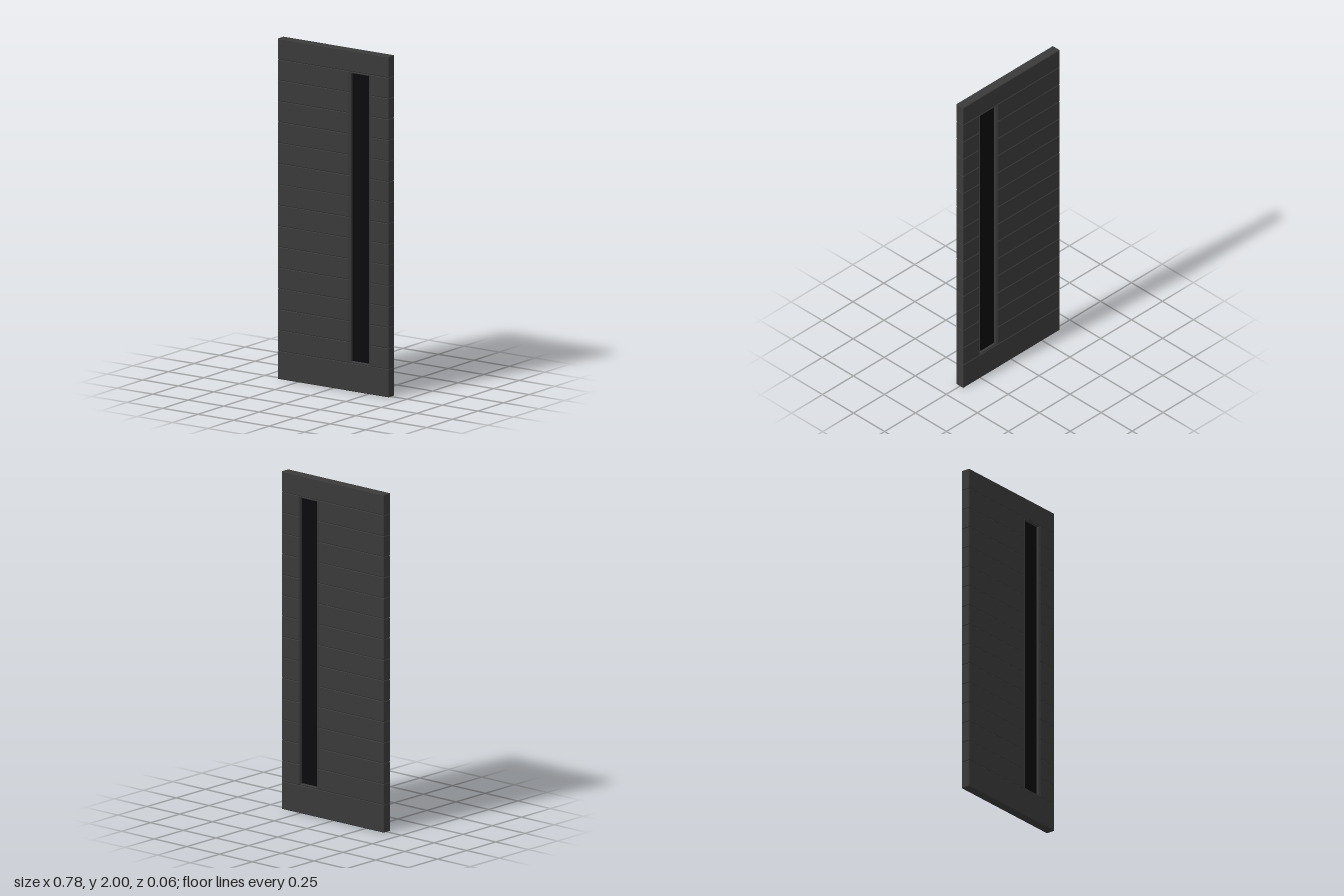
import * as THREE from 'three';

const W = 0.782, H = 2, D = 0.057;
const Y0 = 0.165, Y1 = 1.877, ROWS = 14;   // plank zone between the bottom and top rails
const X0 = 0.113, X1 = 0.259;              // window bay
const CH = 0.0035;                         // chamfer that forms the grooves

const paint = new THREE.MeshStandardMaterial({ color: 0x3a3a3a, flatShading: true });
const darkGlass = new THREE.MeshStandardMaterial({ color: 0x0b0b0d });

// Board with every edge chamfered, so stacked boards meet in V grooves
function board(name, x0, x1, y0, y1) {
  const a = x0 + CH, b = x1 - CH, c = y0 + CH, d = y1 - CH, e = 0.0005;
  const shape = new THREE.Shape([
    [a + e, c], [b - e, c], [b, c + e], [b, d - e],
    [b - e, d], [a + e, d], [a, d - e], [a, c + e],
  ].map(([x, y]) => new THREE.Vector2(x, y)));
  const geo = new THREE.ExtrudeGeometry(shape, {
    depth: D - 2 * CH, bevelEnabled: true, bevelSize: CH, bevelThickness: CH, bevelSegments: 1,
  });
  geo.translate(0, 0, -D / 2 + CH);
  const mesh = new THREE.Mesh(geo, paint);
  mesh.name = name;
  return mesh;
}

function rectPoints(x0, x1, y0, y1) {
  return [[x0, y0], [x1, y0], [x1, y1], [x0, y1]].map(([x, y]) => new THREE.Vector2(x, y));
}

export function createModel() {
  const door = new THREE.Group();
  door.name = 'door';

  // Solid rails at the bottom and top
  door.add(board('bottomRail', -W / 2, W / 2, 0, Y0));
  door.add(board('topRail', -W / 2, W / 2, Y1, H));

  // Horizontal planks on both sides of the window
  const step = (Y1 - Y0) / ROWS;
  for (let i = 0; i < ROWS; i++) {
    const y = Y0 + i * step;
    door.add(board('widePlank', -W / 2, X0, y, y + step));
    door.add(board('narrowPlank', X1, W / 2, y, y + step));
  }

  // Slim window frame with a bevelled opening
  const t = 0.004, b = 0.003, frameDepth = D - 0.003;
  const outline = new THREE.Shape(rectPoints(X0 + b, X1 - b, Y0 + b, Y1 - b));
  outline.holes.push(new THREE.Path(rectPoints(X0 + t + b, X1 - t - b, Y0 + t + b, Y1 - t - b).reverse()));
  const frameGeo = new THREE.ExtrudeGeometry(outline, {
    depth: frameDepth - 2 * b, bevelEnabled: true, bevelSize: b, bevelThickness: b, bevelSegments: 1,
  });
  frameGeo.translate(0, 0, -frameDepth / 2 + b);
  const frame = new THREE.Mesh(frameGeo, paint);
  frame.name = 'windowFrame';
  door.add(frame);

  // Recessed dark pane, seen from both faces
  const pane = new THREE.Mesh(new THREE.BoxGeometry(X1 - X0 - t, Y1 - Y0 - t, 0.022), darkGlass);
  pane.name = 'windowPane';
  pane.position.set((X0 + X1) / 2, (Y0 + Y1) / 2, 0);
  door.add(pane);

  return door;
}
